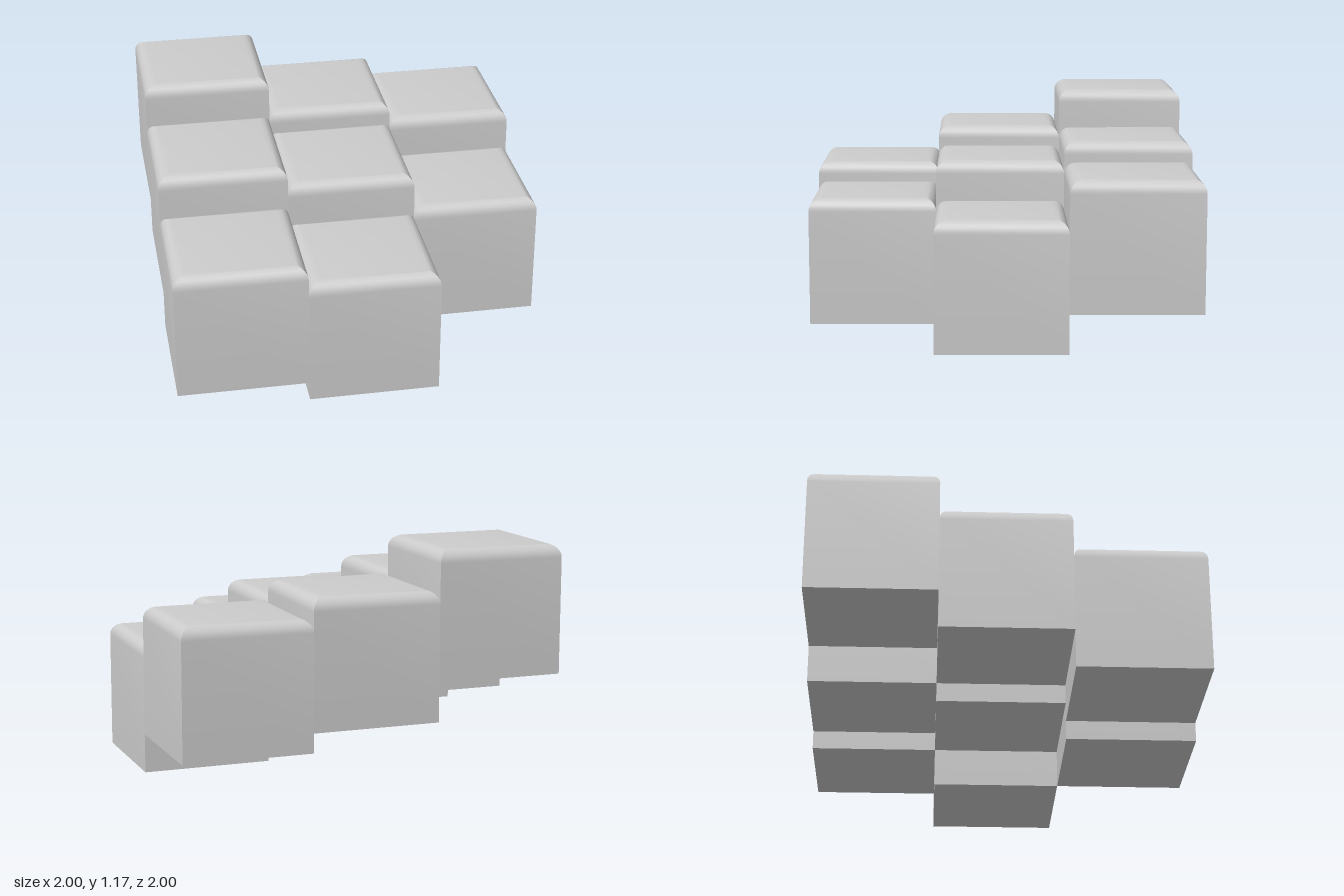
import * as THREE from 'three';
import { toCreasedNormals } from 'three/addons/utils/BufferGeometryUtils.js';

const SIZE = 2 / 3;    // edge of each cube
const BEVEL = 0.067;   // rounding of the top edges

// Square block: sharp base and upright edges, rounded and mitred top edges
function blockGeometry() {
  const half = SIZE / 2, steps = 6;
  const profile = [[0, 0], [half, 0]];
  for (let i = 0; i <= steps; i++) {
    const a = (i / steps) * Math.PI / 2;
    profile.push([half - BEVEL + BEVEL * Math.cos(a), SIZE - BEVEL + BEVEL * Math.sin(a)]);
  }
  profile.push([0, SIZE]);
  // Four-sided lathe; radii are measured to the corners
  const points = profile.map(([r, y]) => new THREE.Vector2(r * Math.SQRT2, y));
  const lathe = new THREE.LatheGeometry(points, 4, Math.PI / 4);
  return toCreasedNormals(lathe, 0.5);
}

export function createModel() {
  const group = new THREE.Group();
  group.name = 'steppedBlocks';
  const stone = new THREE.MeshStandardMaterial({ color: 0xcccccc });
  stone.name = 'light grey';
  const geometry = blockGeometry();

  // Base height of each block; rows run back to front, columns from -x to +x
  const rows = [
    ['back', [0.5, 0.3, 0.2]],
    ['middle', [0.3, 0.2, 0]],
    ['front', [0.1, 0]],
  ];
  const columns = ['Right', 'Centre', 'Left'];
  rows.forEach(([rowName, bases], row) => {
    bases.forEach((base, col) => {
      const block = new THREE.Mesh(geometry, stone);
      block.name = `${rowName}${columns[col]}Block`;
      block.position.set((col - 1) * SIZE, base, (row - 1) * SIZE);
      group.add(block);
    });
  });
  return group;
}
